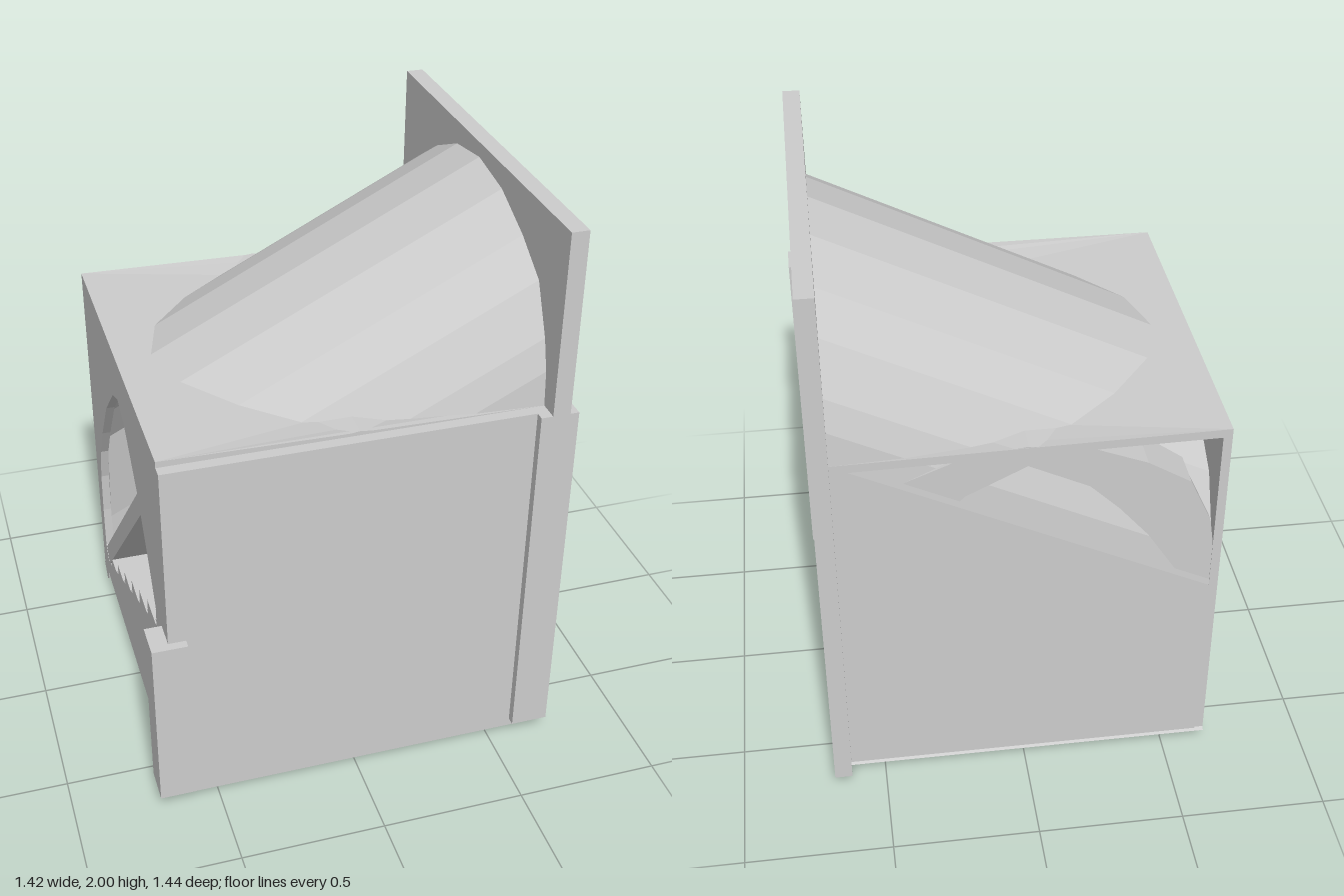
import * as THREE from 'three';

export function createModel() {
  const model = new THREE.Group();
  const stone = new THREE.MeshStandardMaterial({ color: 0xcccccc });
  stone.name = 'pale stone';

  const add = (name, geometry) => {
    const mesh = new THREE.Mesh(geometry, stone);
    mesh.name = name;
    model.add(mesh);
    return mesh;
  };
  // Box given by its lower and upper corners
  const box = (name, x0, x1, y0, y1, z0, z1) => {
    const g = new THREE.BoxGeometry(x1 - x0, y1 - y0, z1 - z0);
    g.translate((x0 + x1) / 2, (y0 + y1) / 2, (z0 + z1) / 2);
    return add(name, g);
  };
  const points = (list) => list.map(([a, b]) => new THREE.Vector2(a, b));
  // Flat outline with optional holes, given a thickness
  const extrude = (outline, depth, holes = []) => {
    const shape = new THREE.Shape(points(outline));
    holes.forEach((h) => shape.holes.push(new THREE.Path(points(h))));
    return new THREE.ExtrudeGeometry(shape, { depth, bevelEnabled: false });
  };
  // Outline in (z, y) carried along x
  const alongX = (outline, x0, x1, holes) =>
    extrude(outline, x1 - x0, holes).rotateY(-Math.PI / 2).translate(x1, 0, 0);
  // Outline in (x, y) carried along z
  const alongZ = (outline, z0, z1) => extrude(outline, z1 - z0).translate(0, 0, z0);
  // Move each vertex height by a rule and refresh the flat normals
  const reshape = (g, rule) => {
    const p = g.attributes.position;
    for (let i = 0; i < p.count; i++) p.setY(i, rule(p.getX(i), p.getY(i)));
    g.computeVertexNormals();
    return g;
  };
  // Half outline from the crown, mirrored into a whole arch
  const mirrored = (half) => [...half.slice(1).reverse().map(([z, y]) => [-z, y]), ...half];

  // Openings
  const upperArch = mirrored([[0, 1.87], [0.07, 1.845], [0.14, 1.805], [0.2, 1.76], [0.3, 1.665],
    [0.4, 1.54], [0.47, 1.44], [0.52, 1.36]]);
  const lowerArch = [[0.54, 0.65], [0.43, 0.82], [0.28, 1.02], [0.1, 1.18], [0, 1.22], [-0.1, 1.18],
    [-0.28, 1.02], [-0.43, 0.82], [-0.52, 0.68], [-0.56, 0.54], [-0.575, 0.37], [-0.575, 0.12], [-0.5, 0.12]];
  const sideArch = [...lowerArch.slice(0, -2), [-0.575, 0.2], [-0.53, 0.14]];

  // Tall end wall with its two openings
  add('endWall', alongX([[-0.72, 0.06], [0.72, 0.06], [0.72, 2], [-0.72, 2]], 0.62, 0.68, [upperArch, lowerArch]));

  // Low walls and floor
  add('sideWall', alongX([[-0.65, 0.06], [0.65, 0.06], [0.65, 1.36], [-0.65, 1.36]], -0.65, -0.62, [sideArch]));
  box('frontWall', -0.65, 0.62, 0.06, 1.36, 0.65, 0.69);
  box('floor', -0.65, 0.64, 0.06, 0.09, -0.65, 0.66);

  // Roof slab, open under the sloping vault and lifting slightly at its free edge
  const well = mirrored([[0, -0.5], [0.2, -0.44], [0.38, -0.29], [0.52, -0.1], [0.59, 0.2], [0.62, 0.6]])
    .map(([z, x]) => [x, z]);
  const slab = extrude([[-0.65, -0.65], [0.62, -0.65], [0.62, 0.65], [-0.65, 0.65]], 0.03, [well]);
  slab.rotateX(-Math.PI / 2).translate(0, 1.33, 0);
  add('roofSlab', reshape(slab, (x, y) => y + 0.04 * Math.max(0, -x - 0.1)));

  // Sloping vault: arched shell sheared downhill, its legs trimmed at the floor
  const outer = mirrored([[0, 1.95], [0.2, 1.92], [0.385, 1.84], [0.53, 1.75], [0.61, 1.585],
    [0.64, 1.48], [0.65, 1.36], [0.655, -1]]);
  const inner = mirrored([[0, 1.875], [0.2, 1.77], [0.3, 1.675], [0.4, 1.55], [0.52, 1.36], [0.58, 0.95], [0.59, -1]]);
  const vault = alongX([...outer, ...inner.slice().reverse()], -0.62, 0.62);
  add('slopingVault', reshape(vault, (x, y) => Math.max(0.06, y + 0.5 * (x - 0.62))));

  // Level cross vault behind the lower opening, with its far leg left open
  const crown = [[0, 1.375], [0.2, 1.35], [0.385, 1.275], [0.53, 1.185], [0.605, 1.02], [0.635, 0.82],
    [0.645, 0.39], [0.655, 0.09]];
  const soffit = [[0, 1.3], [0.2, 1.2], [0.3, 1.1], [0.4, 0.98], [0.52, 0.79], [0.58, 0.37], [0.59, 0.09]];
  const flip = (list) => list.map(([x, y]) => [-x, y]);
  add('crossVault', alongZ([...flip(crown.slice(1, 4)).reverse(), ...crown,
    ...soffit.slice().reverse(), ...flip(soffit.slice(1, 3))], -0.648, 0.65));
  // Its far leg, seen as a rib at the back corner
  add('cornerRib', alongZ([...flip(crown.slice(3, 6)), [-0.645, 0.6], [-0.56, 0.6],
    ...flip(soffit.slice(2, 5)).reverse()], -0.648, -0.61));

  // Ramp, stairs and diagonal brace
  add('ramp', alongX([[-0.6, 0.07], [0.65, 0.07], [0.65, 0.72], [-0.6, 0.09]], -0.645, 0.62));
  for (let i = 0; i < 7; i++) {
    const top = 0.7 - 0.08 * i;
    const z = 0.5 - 0.16 * i;
    box('step', -0.65, 0.644, top - 0.12, top, z, i === 0 ? 0.56 : z + 0.16);
  }
  add('diagonalBrace', alongX([[0.33, 0.97], [0.28, 1.02], [-0.56, 0.2], [-0.52, 0.14]], -0.65, 0.644));

  // Corner posts
  box('tallPost', 0.58, 0.71, 0.06, 1.36, 0.6, 0.72);
  box('shortPost', -0.71, -0.59, 0.06, 0.705, 0.595, 0.72);

  // Runners under the floor
  box('frontRunner', -0.65, 0.64, 0.03, 0.06, 0.595, 0.69);
  add('backRunner', alongX([[-0.57, 0.06], [-0.57, 0.03], [-0.61, 0.0], [-0.66, 0.05], [-0.65, 0.06]], -0.65, 0.64));

  return model;
}
